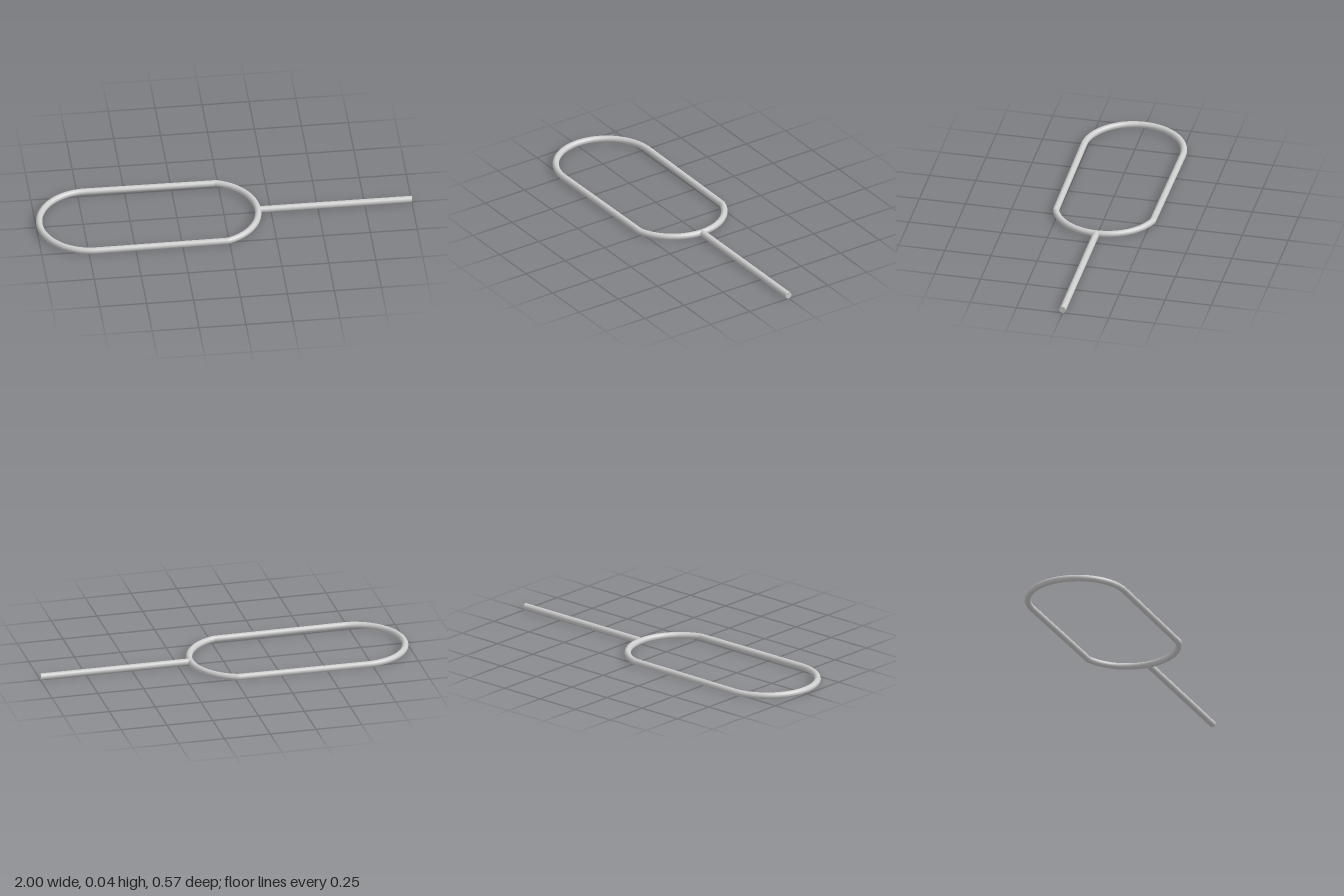
import * as THREE from 'three';

const WIRE = 0.0172, ROD = 0.0178;

// Flat closed outline of the loop, laid out in the xz plane
class LoopCurve extends THREE.Curve {
  constructor() {
    super();
    const kink = 1.26; // half angle of the shallower arc on the rod side
    this.path = new THREE.Path();
    this.path.absarc(-0.0955, 0, 0.2755, -kink, kink, false);
    this.path.absarc(-0.715, 0, 0.268, Math.PI / 2, Math.PI * 1.5, false);
    this.path.closePath();
  }
  getPoint(t, target = new THREE.Vector3()) {
    const p = this.path.getPointAt(t % 1);
    return target.set(p.x, ROD, p.y);
  }
}

export function createModel() {
  const model = new THREE.Group();
  const material = new THREE.MeshStandardMaterial({ color: 0xcccccc });

  // Bent wire loop
  const loop = new THREE.Mesh(
    new THREE.TubeGeometry(new LoopCurve(), 240, WIRE, 24, true), material);
  loop.name = 'loop';
  model.add(loop);

  // Straight rod, starting inside the end of the loop
  const start = 0.18, end = 1;
  const rod = new THREE.Mesh(
    new THREE.CylinderGeometry(ROD, ROD, end - start, 32), material);
  rod.name = 'rod';
  rod.rotation.z = -Math.PI / 2;
  rod.position.set((start + end) / 2, ROD, 0);
  model.add(rod);

  return model;
}
